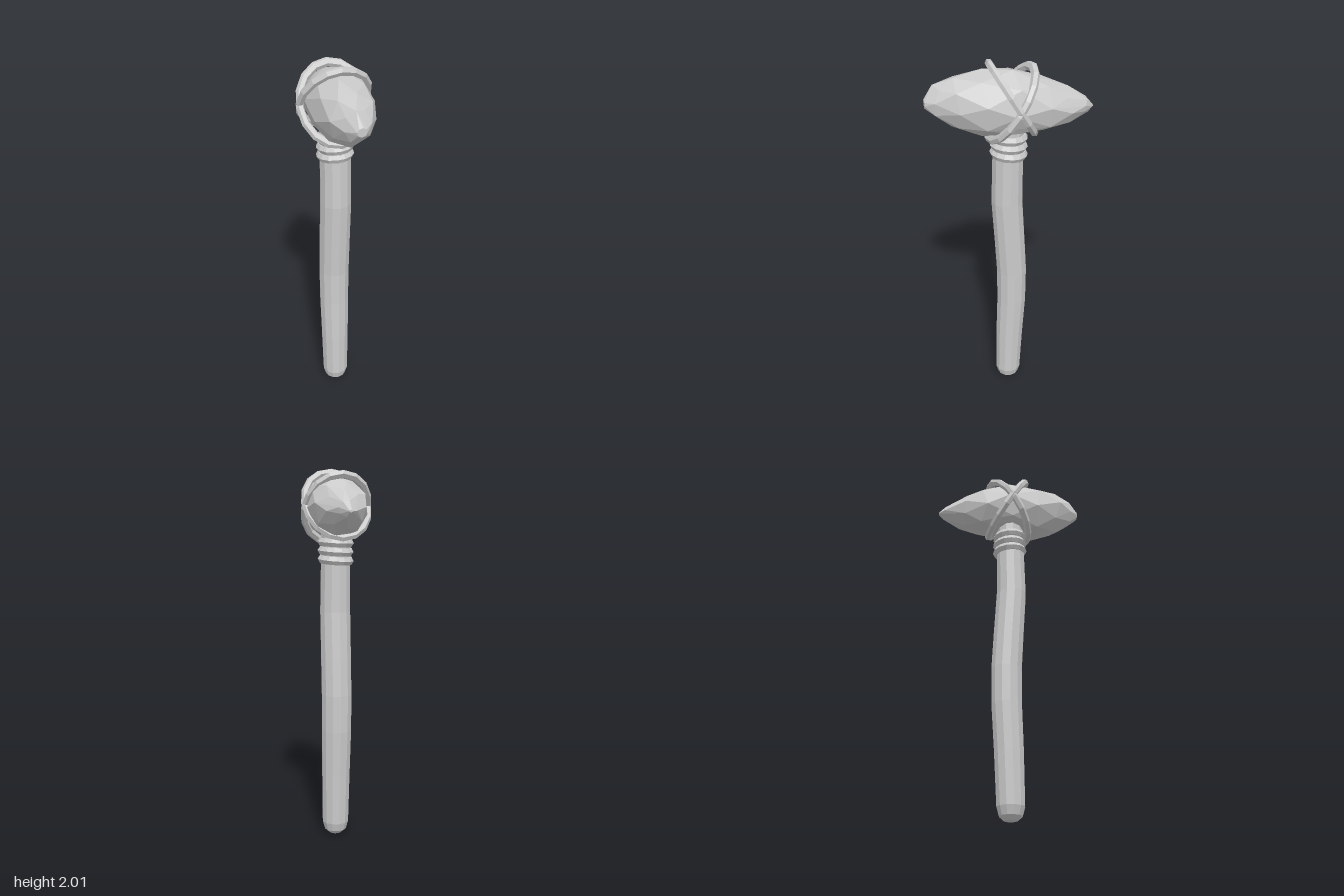
import * as THREE from 'three';
import { ConvexGeometry } from 'three/addons/geometries/ConvexGeometry.js';

const material = new THREE.MeshStandardMaterial({ color: 0xcccccc, flatShading: true });

function add(parent, name, geometry) {
  const mesh = new THREE.Mesh(geometry, material);
  mesh.name = name;
  parent.add(mesh);
  return mesh;
}

// Gently bent shaft: a lathe profile whose vertices follow a curve in z
function handleGeometry() {
  const profile = [
    [0, 0], [0.035, 0.008], [0.06, 0.03], [0.073, 0.075], [0.078, 0.35], [0.082, 0.6],
    [0.083, 0.8], [0.083, 1.0], [0.083, 1.25], [0.08, 1.5], [0.08, 1.68], [0, 1.68],
  ].map(([r, y]) => new THREE.Vector2(r, y));
  const bend = [[0, 0.005], [0.08, 0.005], [0.35, -0.004], [0.6, -0.016], [0.8, -0.017],
    [1.0, -0.006], [1.25, 0.009], [1.5, 0.004], [1.7, 0]];
  const geometry = new THREE.LatheGeometry(profile, 12);
  const p = geometry.attributes.position;
  for (let i = 0; i < p.count; i++) {
    const y = p.getY(i);
    let k = 0;
    while (k < bend.length - 2 && y > bend[k + 1][0]) k++;
    const t = (y - bend[k][0]) / (bend[k + 1][0] - bend[k][0]);
    p.setZ(i, p.getZ(i) + THREE.MathUtils.lerp(bend[k][1], bend[k + 1][1], t));
  }
  geometry.computeVertexNormals();
  return geometry;
}

// Chipped stone: hull around uneven rings of [z, left x, right x, bottom y, top y]
function stoneGeometry() {
  const rings = [
    [0.405, -0.04, 0.01, 1.8, 1.845],
    [0.35, -0.08, 0.05, 1.745, 1.91],
    [0.265, -0.122, 0.112, 1.69, 1.948],
    [0.14, -0.148, 0.155, 1.645, 1.968],
    [-0.02, -0.15, 0.172, 1.64, 1.968],
    [-0.17, -0.125, 0.165, 1.65, 1.917],
    [-0.27, -0.075, 0.135, 1.68, 1.87],
    [-0.37, 0.01, 0.098, 1.73, 1.81],
    [-0.41, 0.04, 0.06, 1.752, 1.765],
  ];
  const points = [];
  rings.forEach(([z, x0, x1, y0, y1], r) => {
    const sides = 8;
    for (let i = 0; i < sides; i++) {
      const a = (i / sides) * Math.PI * 2 + (r % 2 ? 0.2 : -0.12);
      const jitter = 0.014 * Math.sin(i * 2.7 + r * 1.9);
      points.push(new THREE.Vector3(
        (x0 + x1) / 2 + Math.cos(a) * (x1 - x0) / 2,
        (y0 + y1) / 2 + Math.sin(a) * (y1 - y0) / 2,
        Math.abs(z) > 0.4 ? z : z + jitter,
      ));
    }
  });
  return new ConvexGeometry(points);
}

export function createModel() {
  const model = new THREE.Group();
  model.name = 'stoneHammer';

  add(model, 'handle', handleGeometry());
  add(model, 'stoneHead', stoneGeometry());

  // Two cords crossing over the stone
  const cords = new THREE.Group();
  cords.name = 'crossedCords';
  model.add(cords);
  for (const [y, z, tilt] of [[1.813, -0.017, 0.54], [1.79, -0.011, -0.585]]) {
    const cord = add(cords, 'cord', new THREE.TorusGeometry(0.172, 0.02, 6, 16));
    cord.scale.set(1, 1.17, 1);
    cord.position.set(0, y, z);
    cord.rotation.x = tilt;
  }

  // Slanted coils binding the neck
  const binding = new THREE.Group();
  binding.name = 'neckBinding';
  model.add(binding);
  for (let i = 0; i < 3; i++) {
    const geometry = new THREE.TorusGeometry(0.073, 0.024, 6, 14).rotateX(Math.PI / 2);
    const coil = add(binding, 'coil', geometry);
    coil.position.set(0, 1.525 + i * 0.046, 0);
    coil.rotation.set(-0.1, i * 0.3, 0.04);
  }

  return model;
}
